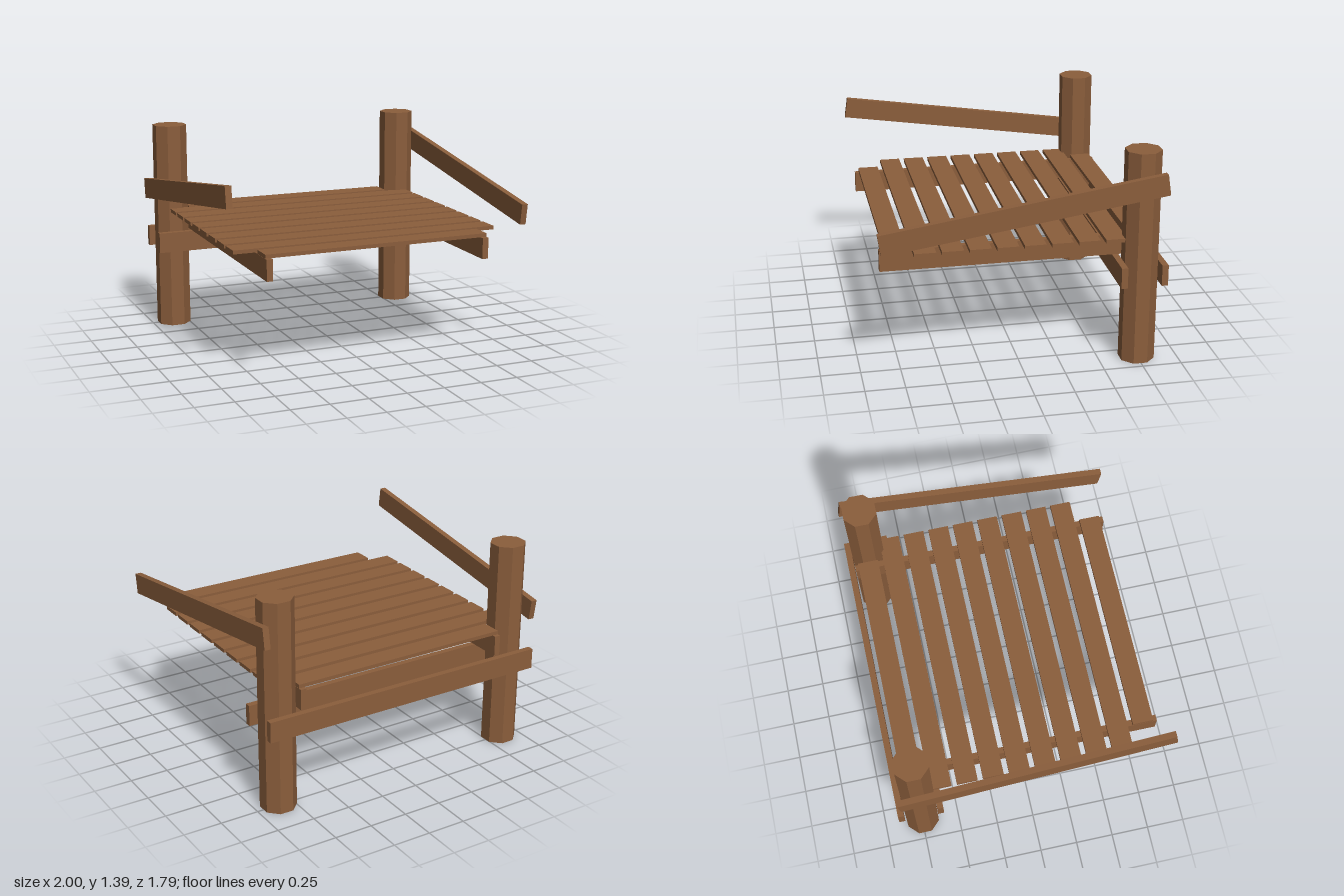
import * as THREE from 'three';

export function createModel() {
  const group = new THREE.Group();
  const wood = new THREE.MeshStandardMaterial({ color: 0x8b5e3c, flatShading: true });

  const add = (name, geometry, x, y, z) => {
    const mesh = new THREE.Mesh(geometry, wood);
    mesh.name = name;
    mesh.position.set(x, y, z);
    group.add(mesh);
    return mesh;
  };

  // Octagonal posts, joists and sloping hand rails on both sides
  for (const side of [1, -1]) {
    const label = side > 0 ? 'left' : 'right';
    const post = new THREE.CylinderGeometry(0.115, 0.115, 1.39, 8, 1, false, Math.PI / 8);
    add(label + 'Post', post, side * 0.851, 0.695, -0.745);
    add(label + 'Joist', new THREE.BoxGeometry(0.04, 0.135, 1.71), side * 0.723, 0.735, 0.007);
    // The two rails slope in opposite directions
    const rail = add(label + 'Rail', new THREE.BoxGeometry(0.04, 0.135, 1.777), side * 0.98, 1.069, 0.007);
    rail.rotation.x = side * 0.149;
  }

  // Cross beams clamping the posts front and back
  for (const [name, z] of [['backBeam', -0.875], ['frontBeam', -0.618]]) {
    add(name, new THREE.BoxGeometry(1.96, 0.135, 0.04), 0, 0.601, z);
  }

  // Deck planks, with the first and last cut short
  const count = 10;
  for (let i = 0; i < count; i++) {
    const width = i === 0 || i === count - 1 ? 1.484 : 1.772;
    const z = -0.757 + i * 0.1695;
    add('plank' + (i + 1), new THREE.BoxGeometry(width, 0.024, 0.135), 0, 0.815, z);
  }

  return group;
}
